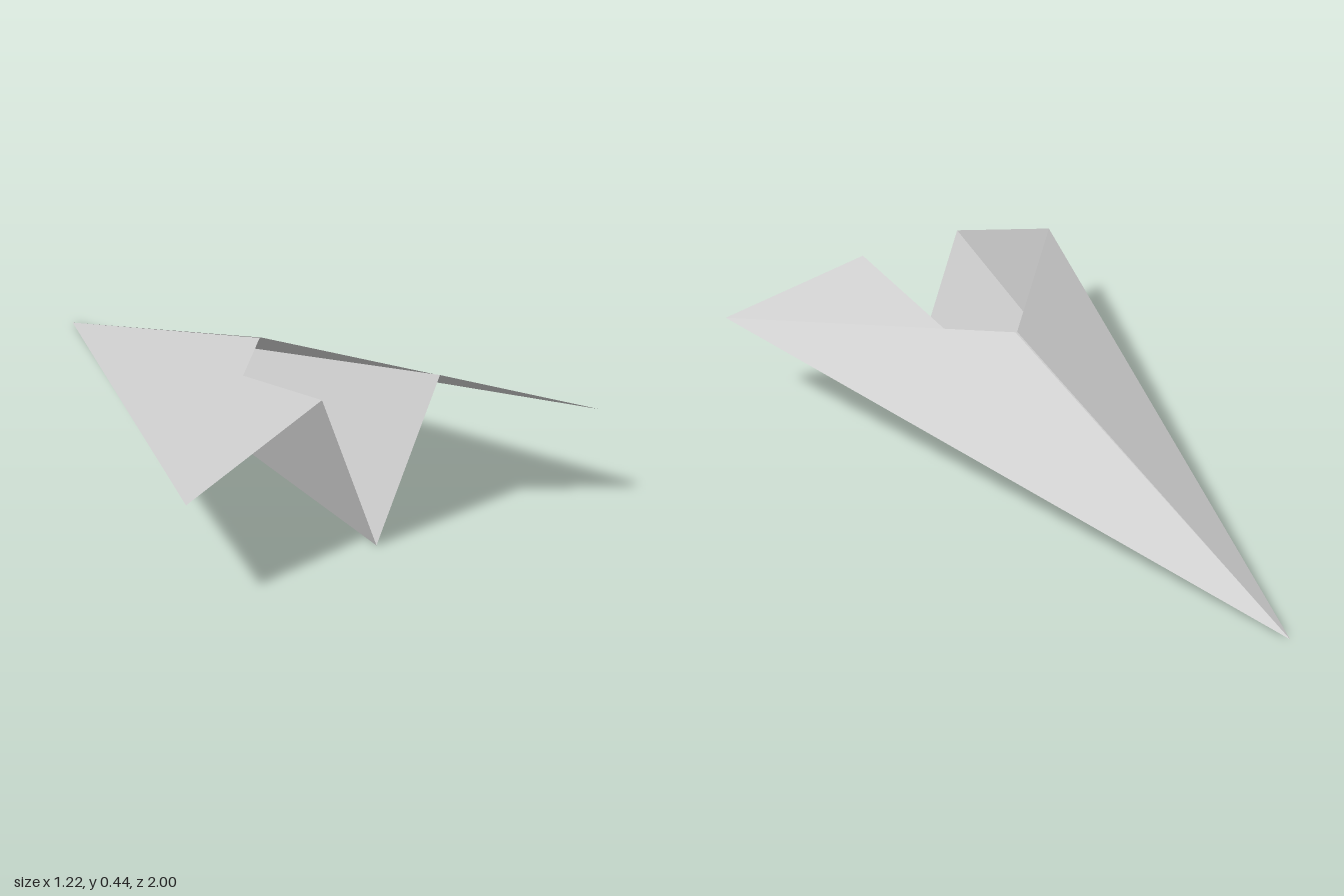
import * as THREE from 'three';

export function createModel() {
  const plane = new THREE.Group();
  plane.name = 'paperPlane';
  const paper = new THREE.MeshStandardMaterial({
    color: 0xcccccc, flatShading: true, side: THREE.DoubleSide,
  });

  // Fold points of the left half; the right half is mirrored in x
  const nose = [0, 0, -1];
  const tip = [0.61, 0.3, 1];
  const edgeMiddle = [0.305, 0.15, 0];
  const keelRear = [0, 0, 0.89];
  const ridgeRear = [0.175, 0.44, 0.89];
  const flapPeak = [0.003, 0.37, 0.28];

  const panels = {
    keelSide: [nose, keelRear, ridgeRear],
    wing: [nose, ridgeRear, tip],
    frontFlap: [nose, flapPeak, edgeMiddle],
    rearFlap: [edgeMiddle, flapPeak, tip],
  };

  // One triangular sheet of paper; mirrored sheets swap two corners
  function sheet(corners, side) {
    const [a, b, c] = corners.map(([x, y, z]) => new THREE.Vector3(x * side, y, z));
    const geometry = new THREE.BufferGeometry().setFromPoints(side > 0 ? [a, b, c] : [a, c, b]);
    geometry.computeVertexNormals();
    return new THREE.Mesh(geometry, paper);
  }

  for (const [sideName, side] of [['left', 1], ['right', -1]]) {
    const half = new THREE.Group();
    half.name = sideName + 'Half';
    for (const [name, corners] of Object.entries(panels)) {
      const mesh = sheet(corners, side);
      mesh.name = sideName + name[0].toUpperCase() + name.slice(1);
      half.add(mesh);
    }
    plane.add(half);
  }
  return plane;
}
